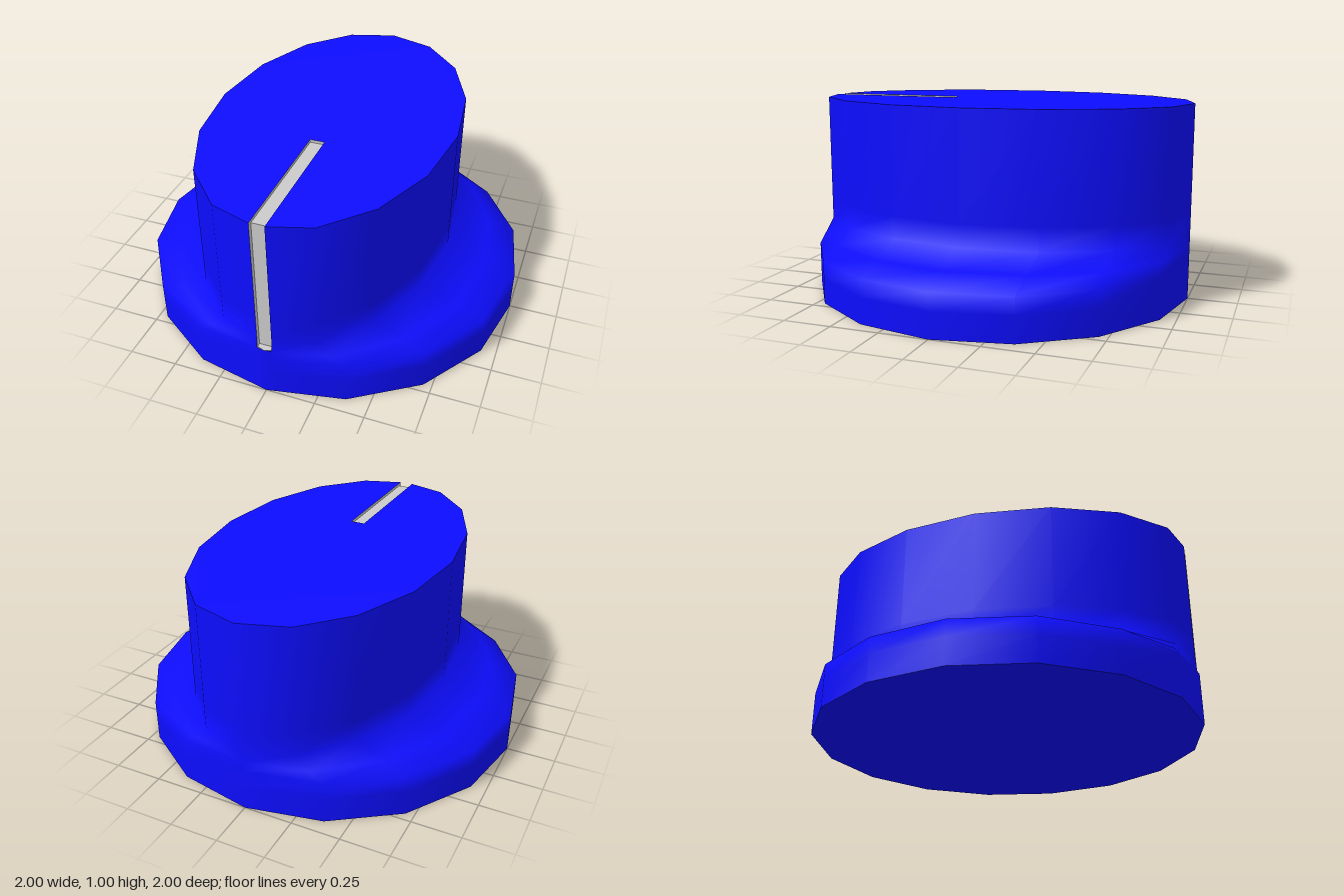
import * as THREE from 'three';

const HALF = 0.037;      // half width of the pointer groove
const SIDES = 16;
const GRIP = 0.63;       // width of the oval grip relative to its length
const blue = new THREE.MeshStandardMaterial({ color: 0x0d0dff });
const grey = new THREE.MeshStandardMaterial({ color: 0xcccccc, side: THREE.DoubleSide });

// Front facet depth at the groove's edge, for an outline squeezed by k in x
const lipZ = (k) => {
  const a = (Math.PI * 2) / SIDES;
  return 1 - (HALF * (1 - Math.cos(a))) / (k * Math.sin(a));
};

// Sixteen-sided oval [x, z], open at the groove, running from its +x lip round to its -x lip
function outline(k) {
  const pts = [[HALF, lipZ(k)]];
  for (let i = 1; i < SIDES; i++) {
    const a = (i / SIDES) * Math.PI * 2;
    pts.push([k * Math.sin(a), Math.cos(a)]);
  }
  pts.push([-HALF, lipZ(k)]);
  return pts;
}

// Skins rows of 3D points, smooth-shaded
function loft(rows) {
  const n = rows[0].length, index = [];
  for (let j = 0; j < rows.length - 1; j++) {
    for (let i = 0; i < n - 1; i++) {
      const a = j * n + i, b = a + 1, c = a + n, d = c + 1;
      index.push(a, b, d, a, d, c);
    }
  }
  const g = new THREE.BufferGeometry();
  g.setAttribute('position', new THREE.Float32BufferAttribute(rows.flat(2), 3));
  g.setIndex(index);
  g.computeVertexNormals();
  return g;
}

const flat = (pts) => new THREE.ShapeGeometry(new THREE.Shape(pts.map(([x, y]) => new THREE.Vector2(x, y))));

export function createModel() {
  const model = new THREE.Group();
  const add = (name, geometry, material) => {
    const mesh = new THREE.Mesh(geometry, material);
    mesh.name = name;
    model.add(mesh);
    return mesh;
  };

  // Round base, sloping skirt and oval grip: [height, squeeze]
  const kFoot = 1 - (1 - GRIP) * 0.45;
  const levels = [[0, 1], [0.13, 1], [0.22, 1], [0.27, kFoot], [0.333, GRIP], [0.45, GRIP], [1, GRIP]];
  add('knobBody', loft(levels.map(([y, k]) => outline(k).map(([x, z]) => [x, y, z]))), blue);

  // Front corner of the base below the groove
  add('frontCorner', loft(levels.slice(0, 4).map(([y, k]) =>
    [[-HALF, y, lipZ(k)], [0, y, 1], [HALF, y, lipZ(k)]])), blue);

  // Top face, notched for the pointer
  const top = [...outline(GRIP), [-HALF, 0.275], [HALF, 0.275]].map(([x, z]) => [x, -z]);
  add('topFace', flat(top).rotateX(-Math.PI / 2), blue).position.y = 1;

  // Underside
  add('underside', flat([...outline(1), [0, 1]]).rotateX(Math.PI / 2), blue);

  // Pointer groove floor, as separate flat strips along its path of [z, y]
  const lip = lipZ(GRIP);
  const path = [[0.275, 1], [0.275, 0.985], [0.965, 0.985], [0.965, 0.27], [lip, 0.27]];
  for (let i = 0; i < path.length - 1; i++) {
    const rows = [path[i + 1], path[i]].map(([z, y]) => [[-HALF, y, z], [HALF, y, z]]);
    add('pointerFloor', loft(rows), grey);
  }
  // Small ledge tip reaching the front corner
  add('pointerLedge', flat([[-HALF, lip], [HALF, lip], [0, 1]]).rotateX(Math.PI / 2), grey).position.y = 0.27;

  // Pointer groove side walls
  for (const side of [-1, 1]) {
    const wall = flat([...path, [lip, 1]].map(([z, y]) => [-z, y])).rotateY(Math.PI / 2);
    add('pointerWall', wall, grey).position.x = side * HALF;
  }
  return model;
}
